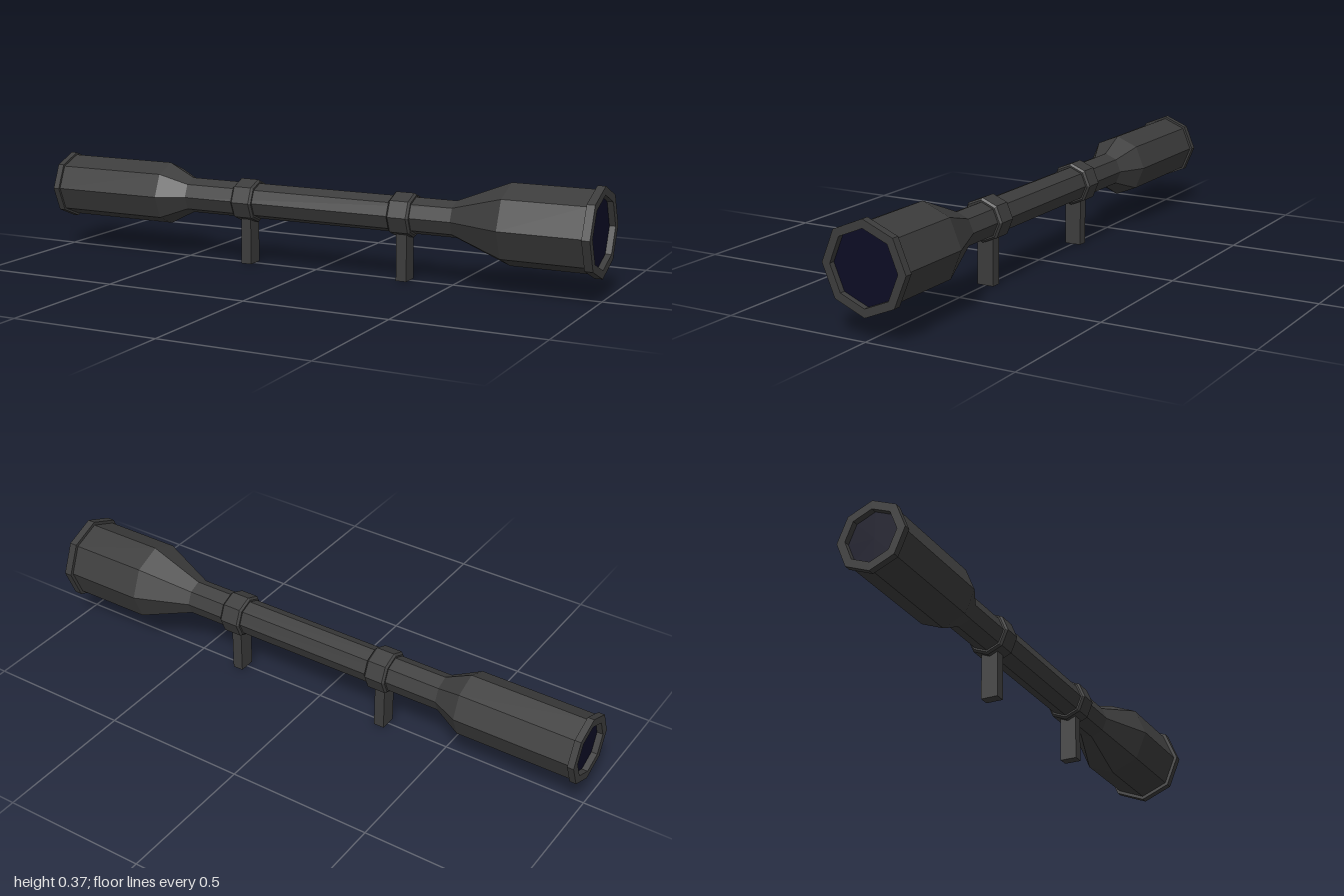
import * as THREE from 'three';

const AXIS_Y = 0.219;

// Eight-sided solid of revolution lying along x; profile points are [x, radius]
function octagonal(profile) {
  const pts = profile.map(([x, r]) => new THREE.Vector2(r, x));
  const geo = new THREE.LatheGeometry(pts, 8).rotateZ(-Math.PI / 2).toNonIndexed();
  geo.computeVertexNormals();
  return geo;
}

export function createModel() {
  const model = new THREE.Group();
  const metal = new THREE.MeshStandardMaterial({ color: 0x3c3c3c });
  metal.name = 'darkMetal';
  const glass = new THREE.MeshStandardMaterial({ color: 0x0c0c24 });
  glass.name = 'darkBlueGlass';

  const add = (name, geo, mat, x, y) => {
    const mesh = new THREE.Mesh(geo, mat);
    mesh.name = name;
    mesh.position.set(x, y, 0);
    model.add(mesh);
  };

  // Main body: eyepiece, slim tube and objective bell, with recessed rims at both ends
  add('scopeBody', octagonal([
    [-0.98, 0.088], [-1, 0.088], [-1, 0.116], [-0.978, 0.116], [-0.978, 0.108],
    [-0.575, 0.108], [-0.482, 0.061], [0.51, 0.061], [0.695, 0.135],
    [0.973, 0.135], [0.973, 0.147], [1, 0.147], [1, 0.119], [0.98, 0.119],
  ]), metal, 0, AXIS_Y);

  // Lenses set just inside the rims
  add('objectiveLens', new THREE.CircleGeometry(0.119, 8).rotateY(Math.PI / 2), glass, 0.98, AXIS_Y);
  add('eyepieceLens', new THREE.CircleGeometry(0.088, 8).rotateY(-Math.PI / 2), glass, -0.98, AXIS_Y);

  // Bevelled mounting rings, each on a square post
  for (const [side, x] of [['rear', -0.256], ['front', 0.328]]) {
    add(side + 'MountRing', octagonal([
      [-0.039, 0.058], [-0.039, 0.067], [-0.032, 0.074],
      [0.032, 0.074], [0.039, 0.067], [0.039, 0.058],
    ]), metal, x, AXIS_Y);
    add(side + 'MountPost', new THREE.BoxGeometry(0.037, 0.165, 0.059), metal, x, 0.0825);
  }
  return model;
}
